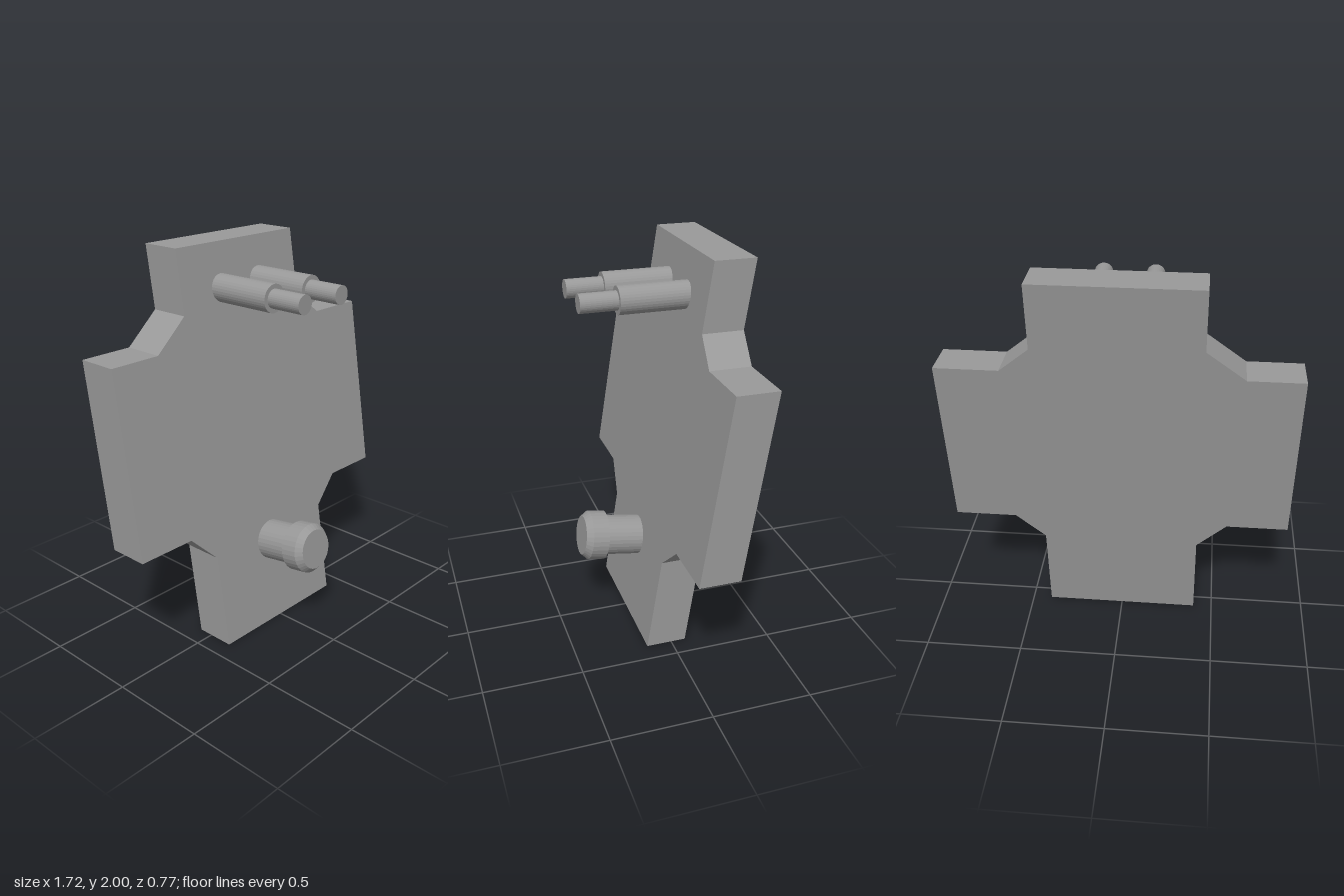
import * as THREE from 'three';

const SLOPE = 0.155; // backward lean of the plate per unit of height
const material = new THREE.MeshStandardMaterial({ color: 0x999999, flatShading: true });

// Stack of coaxial sections along +z: [zStart, zEnd, rStart, rEnd]
function turnedPart(name, sections) {
  const group = new THREE.Group();
  group.name = name;
  sections.forEach(([z0, z1, r0, r1], i) => {
    const geometry = new THREE.CylinderGeometry(r1, r0, z1 - z0, 32);
    geometry.rotateX(Math.PI / 2);
    geometry.translate(0, 0, (z0 + z1) / 2);
    const mesh = new THREE.Mesh(geometry, material);
    mesh.name = `${name}Section${i + 1}`;
    group.add(mesh);
  });
  return group;
}

// Cross-shaped plate, extruded along z and sheared so its ends stay level
function createPlate() {
  const outline = [
    [-0.4, 0], [0.4, 0], [0.4, 0.49], [0.55, 0.628], [0.862, 0.628], [0.862, 1.545],
    [0.55, 1.545], [0.402, 1.668], [0.402, 2], [-0.4, 2], [-0.4, 1.69], [-0.59, 1.545],
    [-0.862, 1.545], [-0.862, 0.628], [-0.55, 0.628], [-0.4, 0.48],
  ].map(([x, y]) => new THREE.Vector2(x, y));
  const geometry = new THREE.ExtrudeGeometry(new THREE.Shape(outline), { depth: 0.205, bevelEnabled: false });
  const pos = geometry.attributes.position;
  for (let i = 0; i < pos.count; i++) {
    pos.setZ(i, pos.getZ(i) - 0.075 - SLOPE * pos.getY(i));
  }
  geometry.computeVertexNormals();
  const plate = new THREE.Mesh(geometry, material);
  plate.name = 'plate';
  return plate;
}

export function createModel() {
  const model = new THREE.Group();
  model.name = 'leaningPlate';
  model.add(createPlate());

  // Pair of level stepped pins near the top
  for (const side of [-1, 1]) {
    const pin = turnedPart(side > 0 ? 'leftPin' : 'rightPin', [
      [-0.18, 0.193, 0.069, 0.069],
      [0.193, 0.378, 0.047, 0.047],
    ]);
    pin.position.set(side * 0.132, 1.78, 0);
    model.add(pin);
  }

  // Knob square to the plate: neck, head and chamfered tip
  const knob = turnedPart('knob', [
    [-0.34, -0.117, 0.104, 0.104],
    [-0.117, -0.032, 0.128, 0.128],
    [-0.032, 0, 0.128, 0.102],
  ]);
  knob.position.set(0, 0.484, 0.366);
  knob.rotation.x = -Math.atan(SLOPE);
  model.add(knob);

  return model;
}
